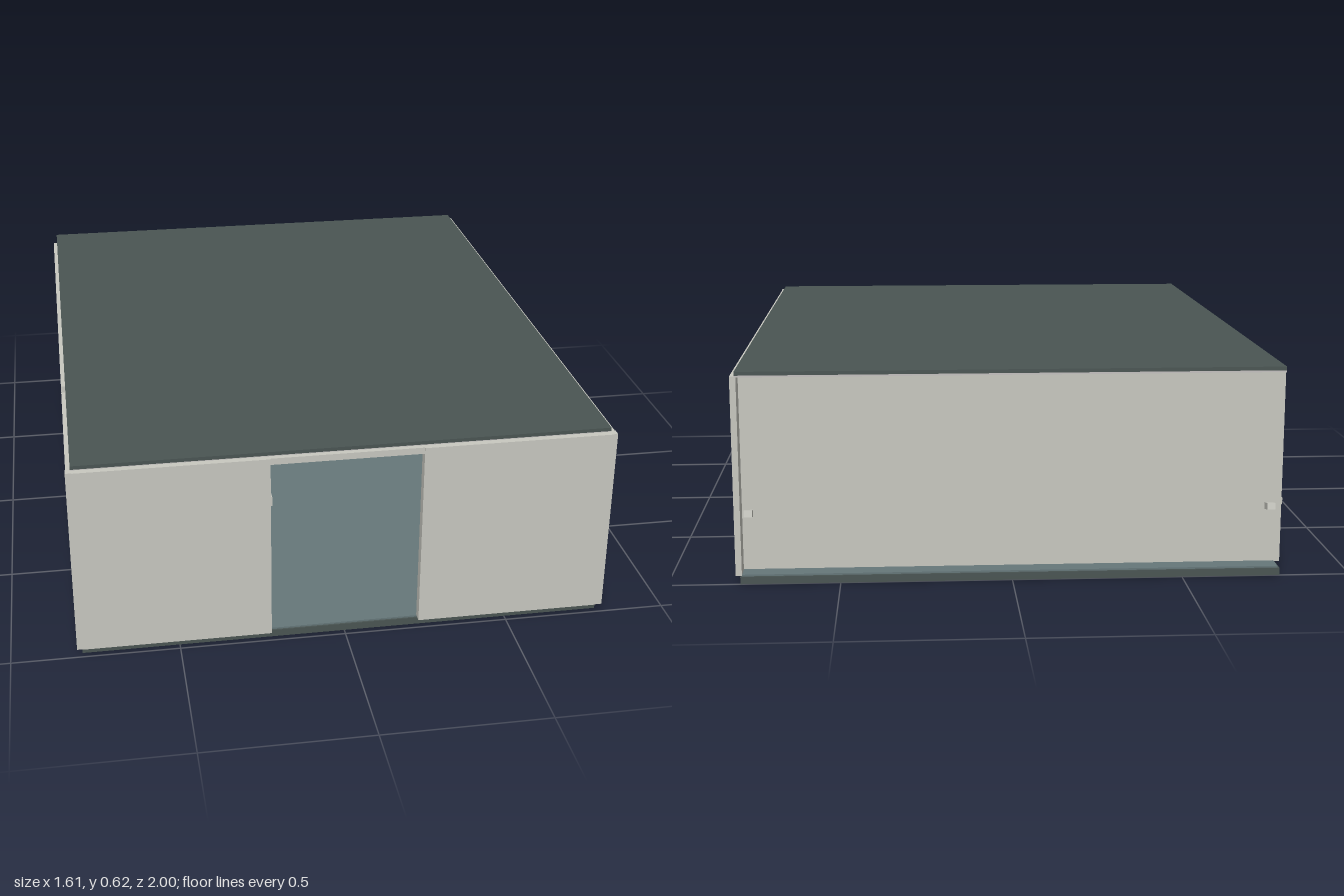
import * as THREE from 'three';

const mat = (name, color) => {
  const m = new THREE.MeshStandardMaterial({ color });
  m.name = name;
  return m;
};

export function createModel() {
  const model = new THREE.Group();
  model.name = 'modularRoom';
  const wall = mat('warmGrey', 0xc8c8c0);
  const slate = mat('darkSlate', 0x4a5553);
  const floorMat = mat('blueGreyFloor', 0x66777a);
  const glass = mat('paleBlueGlass', 0xc2d3e2);
  const ceilingMat = mat('ceilingGrey', 0xc4c1bf);

  // Box given by its minimum and maximum corners
  const box = (name, material, x0, x1, y0, y1, z0, z1) => {
    const mesh = new THREE.Mesh(new THREE.BoxGeometry(x1 - x0, y1 - y0, z1 - z0), material);
    mesh.position.set((x0 + x1) / 2, (y0 + y1) / 2, (z0 + z1) / 2);
    mesh.name = name;
    model.add(mesh);
    return mesh;
  };
  const Y0 = 0.025, Y1 = 0.612;

  // Floor slab with its finish, ceiling and roof
  box('floorSlab', slate, -0.79, 0.79, 0, 0.022, -1, 0.98);
  box('floorFinish', floorMat, -0.785, 0.785, 0.022, 0.027, -0.995, 0.975);
  box('ceiling', ceilingMat, -0.79, 0.79, 0.609, 0.614, -1, 0.98);
  box('roof', slate, -0.79, 0.79, 0.614, 0.625, -1, 0.98);

  // Front wall either side of the doorway, and the lintel
  for (const s of [-1, 1]) {
    const [a, b] = [s * 0.225, s * 0.785].sort((p, q) => p - q);
    box('frontWall', wall, a, b, Y0, Y1, 0.97, 1);
    const [c, d] = [s * 0.785, s * 0.805].sort((p, q) => p - q);
    box('frontCorner', wall, c, d, Y0, Y1, 0.975, 0.998);
  }
  box('doorLintel', wall, -0.225, 0.225, 0.592, Y1, 0.97, 0.996);
  box('doorCatch', wall, -0.227, -0.221, 0.46, 0.49, 0.98, 1);

  // Back wall, set in under the roof edge
  box('backWall', wall, -0.775, 0.775, Y0, Y1, -0.94, -0.915);

  // Solid side wall and the fin that closes its back corner
  box('leftWall', wall, 0.775, 0.803, Y0, Y1, -0.94, 0.975);
  box('cornerFin', wall, 0.785, 0.803, Y0, Y1, -1, -0.942);

  // Side wall pieces around the window, and beyond the narrow gap
  const W0 = -0.035, W1 = 0.395, S = 0.27, H = 0.568;
  box('rightWallBack', wall, -0.803, -0.775, Y0, Y1, -0.94, W0);
  box('rightWallBelowWindow', wall, -0.803, -0.775, Y0, S, W0, W1);
  box('rightWallAboveWindow', wall, -0.803, -0.775, H, Y1, W0, W1);
  box('windowJamb', wall, -0.803, -0.775, Y0, Y1, W1, 0.41);
  box('rightWallFront', wall, -0.803, -0.775, Y0, Y1, 0.455, 0.975);
  box('windowPane', glass, -0.786, -0.78, S, H, W0, W1);

  // Small brackets by the back corners
  for (const s of [-1, 1]) {
    const bracket = box('backBracket', wall, s * 0.765 - 0.012, s * 0.765 + 0.012, 0.19, 0.21, -0.975, -0.94);
    bracket.rotation.x = 0.2;
    box('edgeCatch', wall, s * 0.803 - 0.003, s * 0.803 + 0.003, 0.2, 0.22, -0.938, -0.91);
  }
  return model;
}
